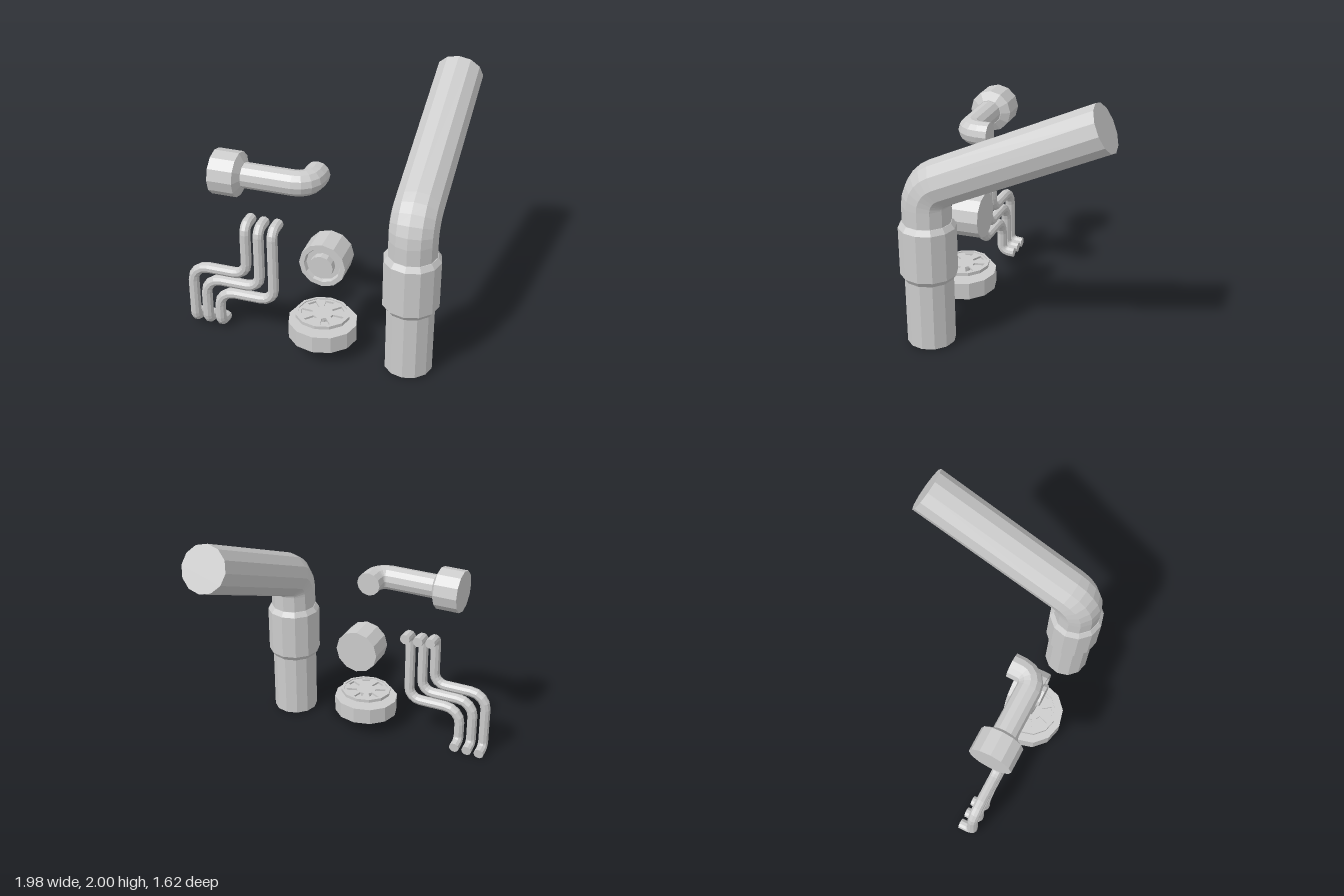
import * as THREE from 'three';

const mat = new THREE.MeshStandardMaterial({ color: 0xcccccc, flatShading: true, side: THREE.DoubleSide });
const V = (x, y, z) => new THREE.Vector3(x, y, z);

function add(parent, name, geometry, x = 0, y = 0, z = 0) {
  const mesh = new THREE.Mesh(geometry, mat);
  mesh.name = name;
  mesh.position.set(x, y, z);
  parent.add(mesh);
  return mesh;
}

// Turned part from [radius, height] pairs, listed bottom to top
function lathe(profile, sides = 12) {
  return new THREE.LatheGeometry(profile.map(([r, y]) => new THREE.Vector2(r, y)), sides);
}

// Capped pipe along straight runs joined by circular elbows; radii[i] belongs to corner i + 1
function pipe(corners, radii, radius, sides, steps = 4) {
  const path = [];
  corners.forEach((p, i) => {
    const prev = corners[i - 1], next = corners[i + 1];
    const din = prev && p.clone().sub(prev).normalize();
    const dout = next && next.clone().sub(p).normalize();
    if (!prev || !next) {
      path.push({ p, t: din || dout });
      return;
    }
    const angle = din.angleTo(dout), R = radii[i - 1];
    const start = p.clone().addScaledVector(din, -R * Math.tan(angle / 2));
    const side = dout.clone().addScaledVector(din, -din.dot(dout)).normalize();
    for (let k = 0; k <= steps; k++) {
      const a = angle * k / steps;
      path.push({
        p: start.clone().addScaledVector(din, R * Math.sin(a)).addScaledVector(side, R * (1 - Math.cos(a))),
        t: din.clone().multiplyScalar(Math.cos(a)).addScaledVector(side, Math.sin(a)),
      });
    }
  });

  const pos = [], index = [], q = new THREE.Quaternion();
  const first = path[0].t;
  const n = (Math.abs(first.x) > 0.9 ? V(0, 1, 0) : V(1, 0, 0));
  n.addScaledVector(first, -n.dot(first)).normalize();
  path.forEach(({ p, t }, i) => {
    if (i) n.applyQuaternion(q.setFromUnitVectors(path[i - 1].t, t));
    const b = t.clone().cross(n);
    for (let j = 0; j < sides; j++) {
      const a = j / sides * Math.PI * 2;
      pos.push(...p.clone().addScaledVector(n, radius * Math.cos(a)).addScaledVector(b, radius * Math.sin(a)));
      if (i) {
        const k = (j + 1) % sides, r0 = (i - 1) * sides, r1 = i * sides;
        index.push(r0 + j, r0 + k, r1 + k, r0 + j, r1 + k, r1 + j);
      }
    }
  });
  const last = (path.length - 1) * sides;
  for (let j = 1; j < sides - 1; j++) {
    index.push(0, j + 1, j, last, last + j, last + j + 1);
  }
  const g = new THREE.BufferGeometry();
  g.setAttribute('position', new THREE.Float32BufferAttribute(pos, 3));
  g.setIndex(index);
  g.computeVertexNormals();
  return g;
}

// Regular polygon outline
function ngon(Type, r, sides = 12) {
  const pts = [];
  for (let i = 0; i < sides; i++) {
    const a = i / sides * Math.PI * 2;
    pts.push(new THREE.Vector2(r * Math.cos(a), r * Math.sin(a)));
  }
  return new Type(pts);
}

function plate(shape, depth) {
  return new THREE.ExtrudeGeometry(shape, { depth, bevelEnabled: false }).rotateX(-Math.PI / 2);
}

export function createModel() {
  const model = new THREE.Group();
  model.name = 'pipeSet';

  // Large bent pipe with a bevelled collar
  const large = new THREE.Group();
  large.name = 'largePipe';
  model.add(large);
  add(large, 'largePipeBody', pipe(
    [V(0.775, 0.02, 0.572), V(0.775, 1.247, 0.572), V(0.775, 1.836, -0.735)], [0.2], 0.181, 12, 5));
  add(large, 'largePipeCollar',
    lathe([[0.17, 0.54], [0.185, 0.54], [0.213, 0.58], [0.213, 0.95], [0.185, 0.99], [0.17, 0.99]]),
    0.775, 0, 0.572);

  // Elbow pipe with a wide end cap
  const elbow = new THREE.Group();
  elbow.name = 'elbowPipe';
  model.add(elbow);
  add(elbow, 'elbowPipeBody', pipe(
    [V(-0.6, 1.4, 0.567), V(0.005, 1.4, 0.567), V(0.005, 1.4, 0.375)], [0.11], 0.095, 12));
  add(elbow, 'elbowPipeCap',
    lathe([[0, 0], [0.168, 0], [0.168, 0.19], [0.1, 0.225], [0, 0.225]]),
    -0.71, 1.4, 0.567).rotation.z = -Math.PI / 2;

  // Short drum with a grooved face and raised centre
  add(model, 'drum',
    lathe([[0, 0], [0.177, 0], [0.177, 0.22], [0.14, 0.22], [0.13, 0.19], [0.092, 0.19], [0.092, 0.245], [0, 0.245]]),
    0.11, 0.768, 0.385).rotation.x = Math.PI / 2;

  // Slotted wheel on a stem above a round base
  const valve = new THREE.Group();
  valve.name = 'valve';
  valve.position.set(0.102, 0, 0.568);
  valve.scale.x = 1.08;
  model.add(valve);
  add(valve, 'valveBase', new THREE.CylinderGeometry(0.246, 0.246, 0.135, 12), 0, 0.2025, 0);
  add(valve, 'valveStem', new THREE.CylinderGeometry(0.042, 0.042, 0.06, 12), 0, 0.29, 0);
  const wheel = ngon(THREE.Shape, 0.18);
  const slots = 7, half = 0.22;
  for (let i = 0; i < slots; i++) {
    const a = -Math.PI / 2 + 0.4 + i / slots * Math.PI * 2;
    const corner = (r, w) => new THREE.Vector2(r * Math.cos(a + w), r * Math.sin(a + w));
    wheel.holes.push(new THREE.Path(
      [corner(0.075, -half), corner(0.155, -half), corner(0.155, half), corner(0.075, half)]));
  }
  add(valve, 'valveWheel', plate(wheel, 0.016), 0, 0.312, 0);
  const rim = ngon(THREE.Shape, 0.194);
  rim.holes.push(ngon(THREE.Path, 0.175));
  add(valve, 'valveWheelRim', plate(rim, 0.026), 0, 0.31, 0);

  // Three nested thin pipes, both ends turned to the back
  const thin = new THREE.Group();
  thin.name = 'thinPipes';
  model.add(thin);
  const z = 0.565;
  [[-0.505, -0.95, 0.54, 0.964], [-0.4, -0.845, 0.445, 0.954], [-0.29, -0.738, 0.348, 0.954]]
    .forEach(([xTop, xLow, yMid, yTop], i) => {
      add(thin, 'thinPipe' + (i + 1), pipe([
        V(xTop, yTop, 0.43), V(xTop, yTop, z), V(xTop, yMid, z),
        V(xLow, yMid, z), V(xLow, 0.053, z), V(xLow, 0.043, 0.455),
      ], [0.06, 0.1, 0.13, 0.06], 0.042, 10));
    });

  return model;
}
